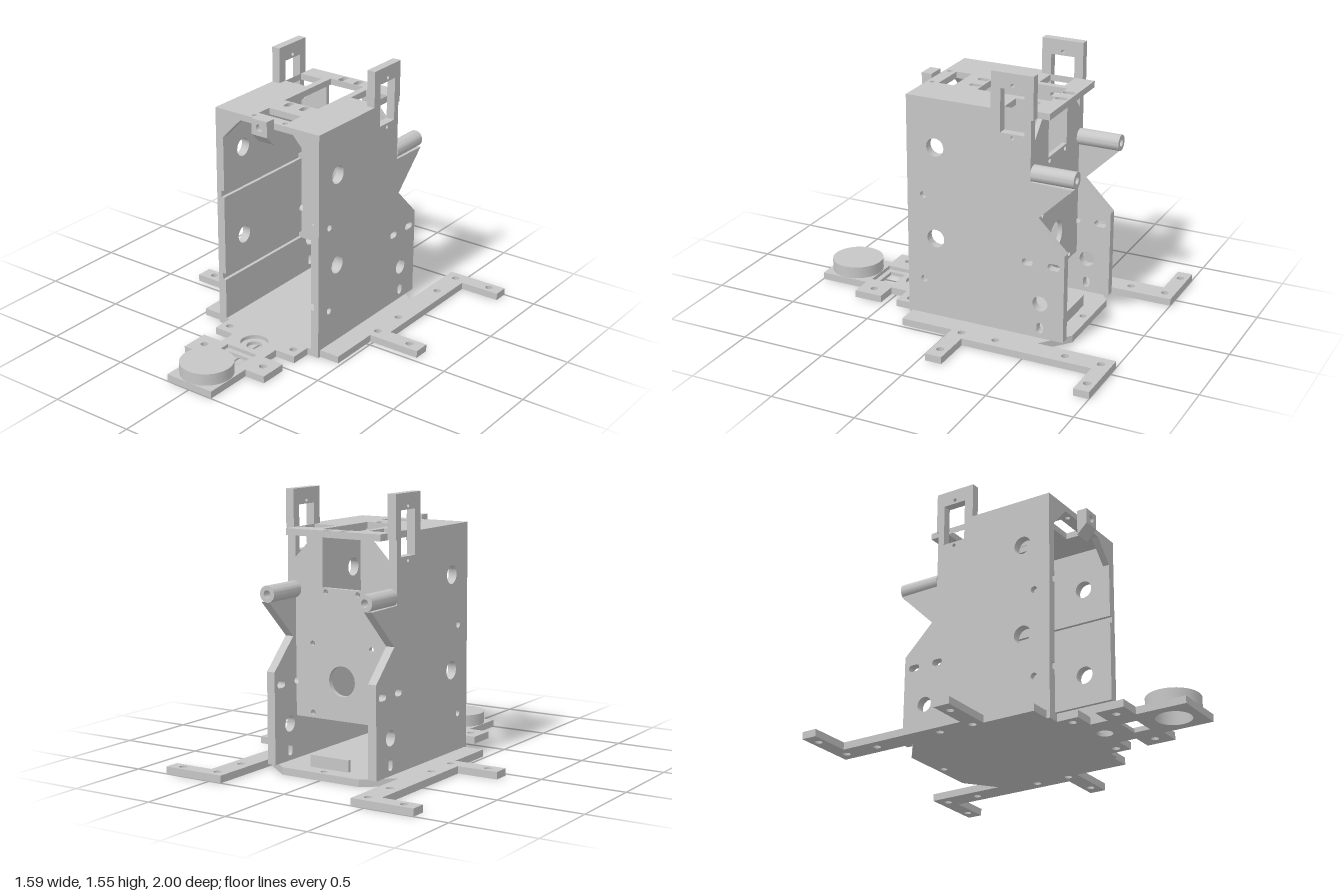
import * as THREE from 'three';
import { toCreasedNormals } from 'three/addons/utils/BufferGeometryUtils.js';

const grey = new THREE.MeshStandardMaterial({ color: 0xc6c6c6 });
grey.name = 'plain grey';

// outlines around a centre (u, v)
const circle = (u, v, r) => Array.from({ length: 32 }, (_, i) => {
  const a = (i / 32) * Math.PI * 2;
  return [u + r * Math.cos(a), v + r * Math.sin(a)];
});
const box = (u, v, w, h) => [[u - w / 2, v - h / 2], [u + w / 2, v - h / 2], [u + w / 2, v + h / 2], [u - w / 2, v + h / 2]];
const slot = (u, v, w, h) => {
  const r = Math.min(w, h) / 2;
  return Array.from({ length: 32 }, (_, i) => {
    const a = ((i + 0.5) / 32) * Math.PI * 2;
    const c = Math.cos(a), s = Math.sin(a);
    return [u + r * c + Math.sign(c) * (w / 2 - r), v + r * s + Math.sign(s) * (h / 2 - r)];
  });
};
const pair = (u, v, r) => [circle(u, v, r), circle(-u, v, r)];
const mirrored = (half) => [...half, ...half.map(([u, v]) => [-u, v]).reverse()];

// flat plate: plan uses (x, z), side uses (z, y), front uses (x, y)
function plate(group, name, view, start, end, outline, holes = []) {
  const map = {
    plan: ([x, z]) => new THREE.Vector2(x, -z),
    side: ([z, y]) => new THREE.Vector2(-z, y),
    front: ([x, y]) => new THREE.Vector2(x, y),
  }[view];
  // outline runs anticlockwise and holes clockwise, so all walls face outwards
  const wind = (pts, clockwise) => {
    const v = pts.map(map);
    return THREE.ShapeUtils.isClockWise(v) === clockwise ? v : v.reverse();
  };
  const shape = new THREE.Shape(wind(outline, false));
  shape.holes = holes.map((h) => new THREE.Path(wind(h, true)));
  let geo = new THREE.ExtrudeGeometry(shape, { depth: end - start, bevelEnabled: false });
  geo.translate(0, 0, start);
  if (view === 'plan') geo.rotateX(-Math.PI / 2);
  if (view === 'side') geo.rotateY(Math.PI / 2);
  geo = toCreasedNormals(geo, 0.5);
  const mesh = new THREE.Mesh(geo, grey);
  mesh.name = name;
  group.add(mesh);
}

export function createModel() {
  const g = new THREE.Group();
  g.name = 'machineFrame';

  // base plate with side arms, front tongue and stepped recesses
  const base = mirrored([
    [0.155, 0.997], [0.155, 0.702], [0.283, 0.702], [0.283, 0.532], [0.155, 0.532], [0.155, 0.427],
    [0.283, 0.427], [0.283, 0.3], [0.355, 0.3], [0.355, 0.28], [0.48, 0.28], [0.48, -0.035],
    [0.797, -0.035], [0.797, -0.133], [0.553, -0.133], [0.553, -0.91], [0.797, -0.91],
    [0.797, -1], [0.42, -1], [0.42, -0.535], [0.25, -0.67],
  ]);
  const bolts = [
    [0.715, -0.955], [0.488, -0.94], [0.488, -0.73], [0.488, -0.31], [0.488, -0.1],
    [0.715, -0.085], [0.23, 0.363], [0.21, 0.616],
  ].flatMap(([x, z]) => pair(x, z, 0.022));
  bolts.push(circle(0, -0.628, 0.02), circle(0, 0.845, 0.1));
  plate(g, 'basePlateLower', 'plan', 0, 0.02, base,
    [...bolts, circle(0, 0.427, 0.045), box(0, 0.614, 0.145, 0.095)]);
  plate(g, 'basePlateUpper', 'plan', 0.02, 0.042, base,
    [...bolts, circle(0, 0.427, 0.08), box(0, 0.614, 0.208, 0.155)]);
  plate(g, 'baseTab', 'front', -0.578, -0.558, box(0, 0.075, 0.25, 0.07));

  // hollow round pad on the tongue
  plate(g, 'padRim', 'plan', 0.042, 0.09, circle(0, 0.845, 0.152), [circle(0, 0.845, 0.1)]);
  plate(g, 'padTop', 'plan', 0.09, 0.112, circle(0, 0.845, 0.152));

  // side walls: outer skin plus inner skin with two grooves
  const rear = [
    [0.3, 1.345], [-0.215, 1.345], [-0.215, 1.555], [-0.465, 1.555], [-0.465, 1.31],
    [-0.452, 1.31], [-0.452, 0.96], [-0.7, 0.955], [-0.48, 0.74], [-0.658, 0.563], [-0.658, 0.042],
  ];
  const front = [[0.3, 0.042]];
  for (const y of [0.29, 0.81]) front.push([0.3, y], [-0.425, y], [-0.425, y + 0.04], [0.3, y + 0.04]);
  const wallHoles = [
    circle(0.125, 1.062, 0.053), circle(0.125, 0.518, 0.053), circle(-0.517, 0.25, 0.045),
    slot(-0.517, 0.102, 0.04, 0.065), slot(-0.438, 0.486, 0.066, 0.04), slot(-0.596, 0.486, 0.072, 0.04),
    box(-0.342, 1.34, 0.142, 0.25), circle(-0.342, 1.487, 0.011), circle(-0.342, 1.193, 0.011),
  ];
  const blind = [circle(0.2, 0.77, 0.02), circle(0.2, 0.257, 0.02)];
  for (const s of [1, -1]) {
    const side = s > 0 ? 'left' : 'right';
    const span = (a, b) => (s > 0 ? [a, b] : [-b, -a]);
    plate(g, side + 'WallOuter', 'side', ...span(0.325, 0.356), [front[0], ...rear], [...wallHoles, ...blind]);
    plate(g, side + 'WallInner', 'side', ...span(0.305, 0.325), [...front, ...rear], wallHoles);
    // rear tube and front corner gusset
    plate(g, side + 'RearTube', 'front', -0.705, -0.452, circle(s * 0.315, 1, 0.047), [circle(s * 0.315, 1, 0.022)]);
    plate(g, side + 'CornerGusset', 'front', 0.26, 0.3, [[s * 0.305, 1.178], [s * 0.305, 1.308], [s * 0.18, 1.308]]);
  }

  // back wall with top window, round port and edge notches
  plate(g, 'backWall', 'front', -0.452, -0.425, mirrored([
    [0.125, 1.02], [0.125, 1.308], [0.18, 1.308], [0.305, 1.178], [0.305, 0.503], [0.292, 0.503],
    [0.292, 0.466], [0.305, 0.466], [0.305, 0.287],
  ]), [
    circle(0, 0.51, 0.085), ...pair(0.193, 0.705, 0.015), ...pair(0.193, 0.316, 0.015), ...pair(0.105, 0.998, 0.015),
  ]);

  // roof with main opening, side openings and slots
  plate(g, 'roof', 'plan', 1.308, 1.345, box(0, -0.119, 0.61, 0.838), [
    box(0, -0.235, 0.23, 0.44), box(0.23, -0.345, 0.148, 0.15), box(-0.23, -0.345, 0.148, 0.15),
    box(0, 0.179, 0.22, 0.095), ...pair(0.105, 0.267, 0.015),
    ...[0.053, -0.053].flatMap((x) => [slot(x, -0.492, 0.04, 0.07), slot(x, 0.027, 0.04, 0.07)]),
  ]);

  // front bracket: drilled face, solid core, sloping underside
  plate(g, 'bracketFace', 'front', 0.335, 0.363, box(0, 1.324, 0.106, 0.092), [circle(0, 1.324, 0.022)]);
  plate(g, 'bracketCore', 'side', -0.053, 0.053, [[0.3, 1.37], [0.335, 1.37], [0.335, 1.278], [0.363, 1.278], [0.3, 1.217]]);
  return g;
}
